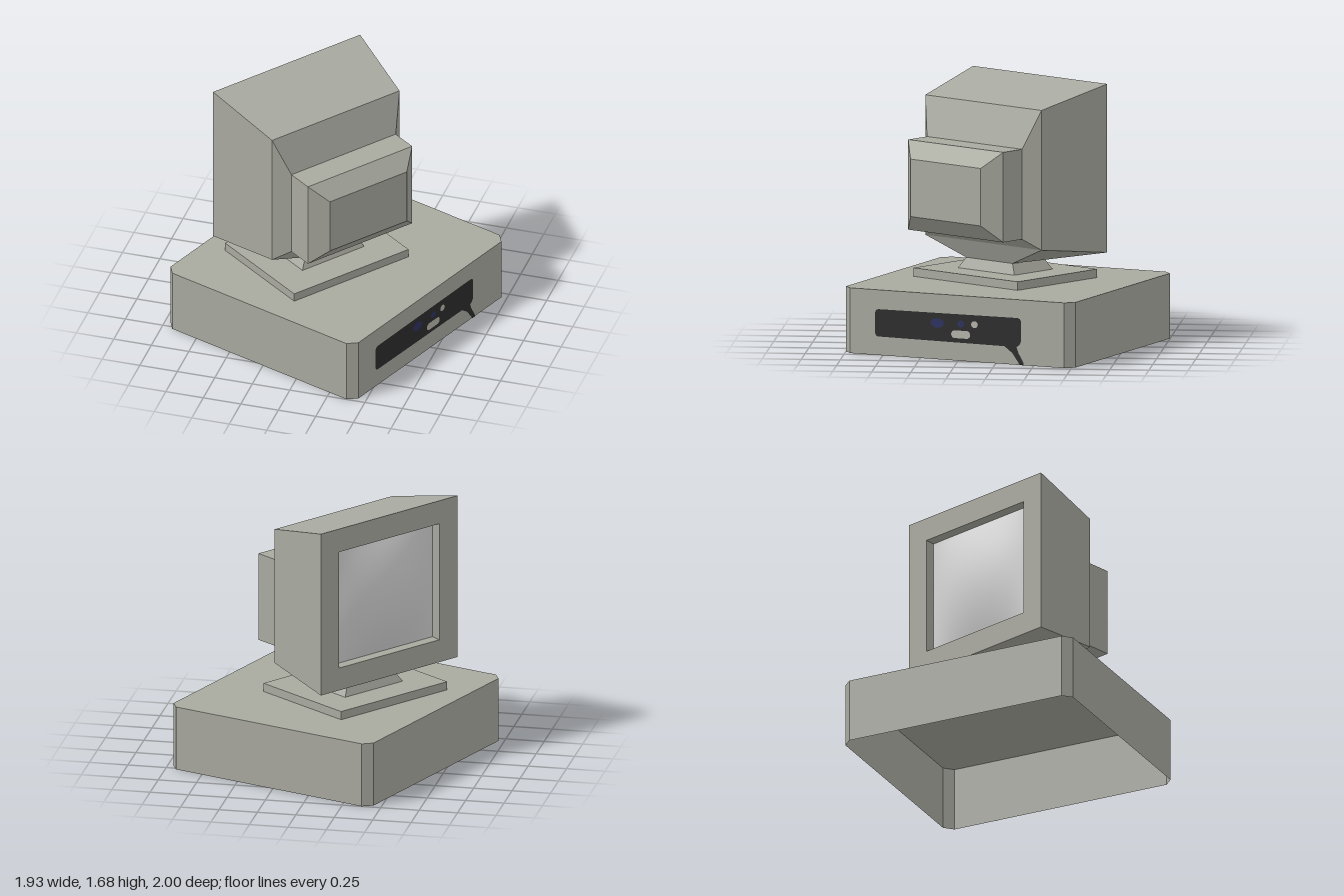
import * as THREE from 'three';

const mat = (name, color, side = THREE.DoubleSide) => {
  const m = new THREE.MeshStandardMaterial({ color, side });
  m.name = name;
  return m;
};

// Flat-shaded skin through a list of rings, optionally closed at the last ring.
function loft(rings, cap = false) {
  const p = [];
  const tri = (...v) => v.forEach((q) => p.push(...q));
  for (let r = 0; r < rings.length - 1; r++) {
    const a = rings[r], b = rings[r + 1], n = a.length;
    for (let i = 0; i < n; i++) {
      const j = (i + 1) % n;
      tri(a[i], a[j], b[j]);
      tri(a[i], b[j], b[i]);
    }
  }
  const e = rings[rings.length - 1];
  if (cap) for (let i = 1; i < e.length - 1; i++) tri(e[0], e[i], e[i + 1]);
  const g = new THREE.BufferGeometry();
  g.setAttribute('position', new THREE.Float32BufferAttribute(p, 3));
  g.computeVertexNormals();
  return g;
}

// Upright rectangle at depth z, and level rectangle at height y.
const upright = (x0, x1, y0, y1, z) => [[x0, y0, z], [x1, y0, z], [x1, y1, z], [x0, y1, z]];
const level = (cx, cz, w, d, y) => [[-1, -1], [-1, 1], [1, 1], [1, -1]]
  .map(([sx, sz]) => [cx + sx * w / 2, y, cz + sz * d / 2]);

export function createModel() {
  const casing = mat('casing', 0xa8a99f);
  const glass = mat('screenGlass', 0xd6d6d6);
  const black = mat('portPanelBlack', 0x2d2d2d);
  const blue = mat('portBlue', 0x2c3160);
  const pale = mat('portPale', 0xb6b6ac);

  const model = new THREE.Group();
  model.name = 'desktopComputer';
  const add = (parent, name, geometry, material) => {
    const m = new THREE.Mesh(geometry, material);
    m.name = name;
    parent.add(m);
    return m;
  };

  // Computer case: chamfered box, open underneath
  const base = new THREE.Group();
  base.name = 'computerCase';
  base.rotation.y = -THREE.MathUtils.degToRad(20);
  model.add(base);
  const W = 0.75, D = 0.81, c = 0.055;
  const octagon = (y) => [
    [-W, -D + c], [-W, D - c], [-W + c, D], [W - c, D],
    [W, D - c], [W, -D + c], [W - c, -D], [-W + c, -D],
  ].map(([x, z]) => [x, y, z]);
  add(base, 'caseShell', loft([octagon(0), octagon(0.42)], true), casing);

  // Port panel with a hanging cable, on the case's +x side
  const ports = new THREE.Group();
  ports.name = 'portPanel';
  ports.rotation.y = Math.PI / 2;
  ports.position.x = W;
  base.add(ports);
  const s = new THREE.Shape();
  s.moveTo(-0.55, 0.12);
  s.lineTo(0.335, 0.115);
  s.lineTo(0.39, 0.075);
  s.lineTo(0.445, 0.0);
  s.lineTo(0.472, 0.0);
  s.lineTo(0.468, 0.02);
  s.lineTo(0.435, 0.075);
  s.lineTo(0.42, 0.115);
  s.quadraticCurveTo(0.452, 0.13, 0.452, 0.16);
  s.lineTo(0.452, 0.275);
  s.quadraticCurveTo(0.452, 0.302, 0.42, 0.302);
  s.lineTo(-0.55, 0.296);
  s.quadraticCurveTo(-0.578, 0.296, -0.578, 0.265);
  s.lineTo(-0.578, 0.15);
  s.quadraticCurveTo(-0.578, 0.12, -0.55, 0.12);
  add(ports, 'panelAndCable', new THREE.ShapeGeometry(s), black).position.z = 0.003;
  const socket = (name, x, y, rx, ry, material) => {
    const g = new THREE.CircleGeometry(1, 16).scale(rx, ry, 1);
    add(ports, name, g, material).position.set(x, y, 0.006);
  };
  socket('largeBlueSocket', -0.137, 0.234, 0.047, 0.031, blue);
  socket('smallBlueSocket', 0.028, 0.238, 0.024, 0.022, blue);
  socket('roundSocket', 0.125, 0.24, 0.024, 0.022, pale);
  const slot = new THREE.Shape();
  slot.absarc(0.07, 0.17, 0.025, -Math.PI / 2, Math.PI / 2);
  slot.absarc(-0.014, 0.17, 0.025, Math.PI / 2, Math.PI * 1.5);
  add(ports, 'wideSocket', new THREE.ShapeGeometry(slot, 8), pale).position.z = 0.006;

  // Monitor: local -z is the screen side
  const monitor = new THREE.Group();
  monitor.name = 'monitor';
  monitor.rotation.y = Math.atan2(0.8, 0.6);
  model.add(monitor);
  const cx = -0.095, cz = -0.078;
  add(monitor, 'standPlate', loft([level(cx, cz, 0.9, 0.75, 0.42), level(cx, cz, 0.9, 0.75, 0.475)], true), casing);
  const neckTop = level(cx, cz, 0.4, 0.3, 0.543);
  add(monitor, 'standNeck', loft([level(cx, cz, 0.487, 0.36, 0.475), neckTop]), casing);

  // Underside tapering from the housing down to the neck
  const front = upright(-0.673, 0.485, 0.6, 1.685, -0.406);
  const rear = upright(-0.597, 0.407, 0.665, 1.565, 0.128);
  add(monitor, 'undersideTaper', loft([neckTop, [front[0], rear[0], rear[1], front[1]]]), casing);

  // Stepped tube housing
  add(monitor, 'tubeHousing', loft([
    front, rear,
    upright(-0.505, 0.316, 0.735, 1.315, 0.212),
    upright(-0.505, 0.316, 0.735, 1.315, 0.39),
    upright(-0.4, 0.206, 0.84, 1.21, 0.483),
  ], true), casing);

  // Bezel with a recess
  const x0 = -0.52, x1 = 0.332, y0 = 0.75, y1 = 1.53;
  add(monitor, 'screenBezel', loft([
    upright(x0 + 0.008, x1 - 0.008, y0 + 0.008, y1 - 0.008, -0.346),
    upright(x0, x1, y0, y1, -0.406),
    front,
  ]), casing);

  // Bulging screen
  const w = x1 - x0 - 0.012, h = y1 - y0 - 0.012;
  const screen = new THREE.PlaneGeometry(w, h, 16, 16);
  const pos = screen.attributes.position;
  for (let i = 0; i < pos.count; i++) {
    const u = pos.getX(i) / (w / 2), v = pos.getY(i) / (h / 2);
    pos.setZ(i, 0.08 * (1 - u * u) * (1 - v * v));
  }
  screen.rotateY(Math.PI);
  screen.computeVertexNormals();
  add(monitor, 'screen', screen, glass).position.set((x0 + x1) / 2, (y0 + y1) / 2, -0.347);

  return model;
}
